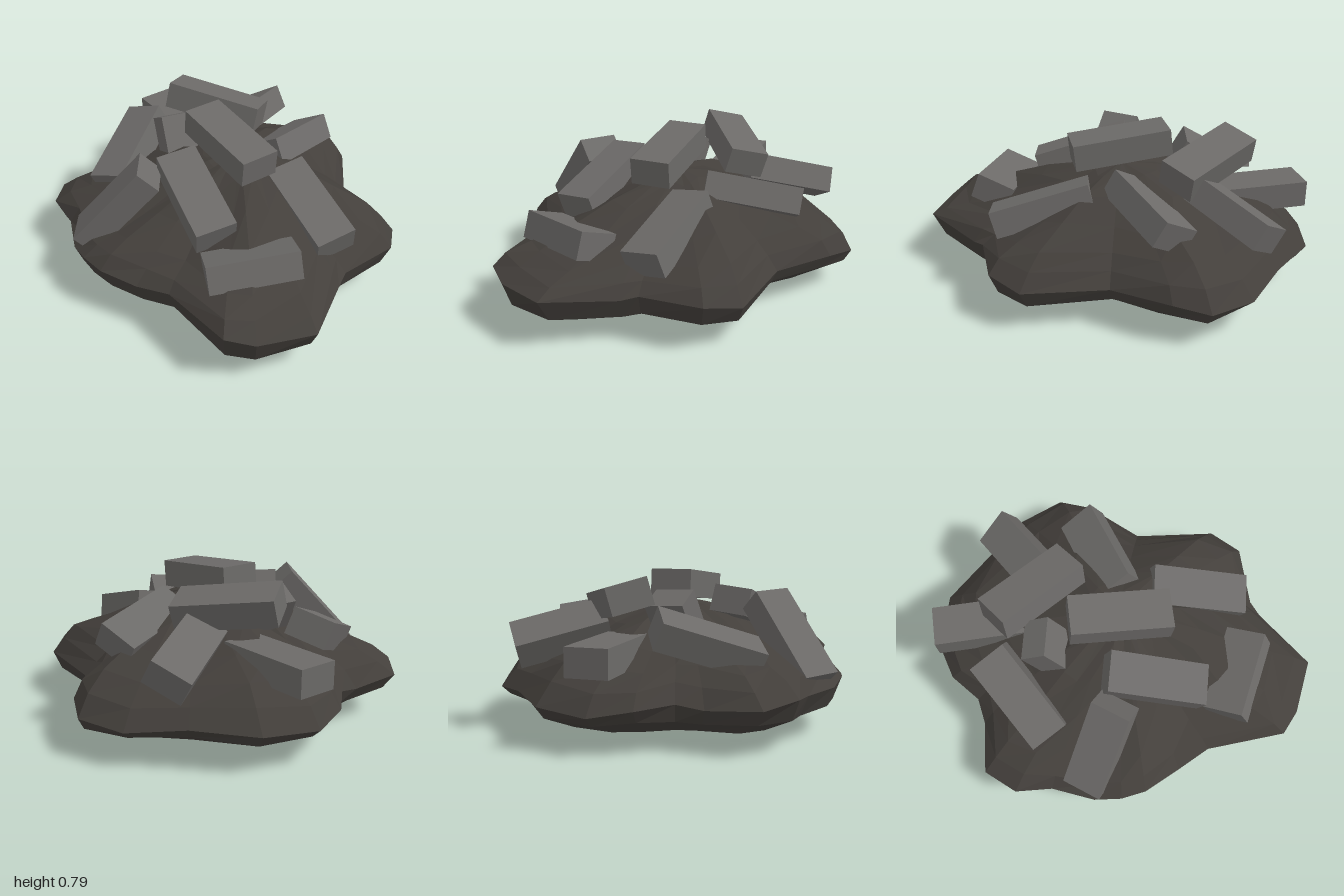
import * as THREE from 'three';

const earth = new THREE.MeshStandardMaterial({ color: 0x433f3b, flatShading: true });
const stone = new THREE.MeshStandardMaterial({ color: 0x6c6a68, flatShading: true });

// Plan outline of the mound at its widest level (x, z)
const outline = [
  [1, 0.32], [0.88, 0.58], [0.78, 0.69], [0.37, 0.71], [0.2, 0.79], [0.01, 0.88], [-0.12, 0.9], [-0.26, 0.88],
  [-0.47, 0.79], [-0.66, 0.78], [-0.81, 0.65], [-0.79, 0.38], [-0.81, 0.25], [-0.94, 0.1], [-1, -0.1],
  [-0.92, -0.38], [-0.67, -0.6], [-0.46, -0.81], [-0.22, -0.9], [-0.05, -0.82], [0.2, -0.6], [0.63, -0.55],
  [0.76, -0.4], [0.76, -0.08], [0.8, 0],
];

// Levels of the mound from underside to crown: outline scale, height, unevenness, lift towards front and left
const levels = [
  [0, 0, 0, 0], [0.4, 0.03, 0, 0], [0.76, 0.062, 0.006, 0], [0.95, 0.14, 0.015, 0], [1, 0.23, 0.022, 0.03],
  [0.92, 0.305, 0.022, 0.015], [0.8, 0.365, 0.025, 0], [0.61, 0.44, 0.028, 0], [0.4, 0.525, 0.022, 0],
  [0.19, 0.59, 0.01, 0], [0, 0.62, 0, 0],
];

function makeMound() {
  const n = outline.length, points = [], index = [];
  levels.forEach(([scale, height, rough, lift], i) => {
    outline.forEach(([x, z], j) => {
      const wave = Math.sin(j * 2.3 + i * 1.7) * 0.6 + Math.sin(j * 5.1 - i * 2.9) * 0.4;
      const s = scale < 1 ? scale * (1 + wave * rough) : 1;
      points.push(x * s, height + rough * 0.8 * Math.sin(j * 1.9 + i * 0.8) + lift * (x + z), z * s);
    });
  });
  for (let i = 0; i < levels.length - 1; i++) {
    for (let j = 0; j < n; j++) {
      const a = i * n + j, b = i * n + (j + 1) % n, c = a + n, d = b + n;
      if (i > 0) index.push(a, c, b);
      if (i < levels.length - 2) index.push(b, c, d);
    }
  }
  const geometry = new THREE.BufferGeometry();
  geometry.setAttribute('position', new THREE.Float32BufferAttribute(points, 3));
  geometry.setIndex(index);
  geometry.computeVertexNormals();
  const mesh = new THREE.Mesh(geometry, earth);
  mesh.name = 'mound';
  return mesh;
}

// Block lying along a direction, rolled about its own length
function makeBlock([name, centre, direction, roll, length = 0.52]) {
  const along = new THREE.Vector3(...direction).normalize();
  const across = along.clone().cross(new THREE.Vector3(0, 1, 0)).normalize();
  const up = across.clone().cross(along);
  const mesh = new THREE.Mesh(new THREE.BoxGeometry(length, 0.14, 0.21), stone);
  mesh.quaternion.setFromRotationMatrix(new THREE.Matrix4().makeBasis(along, up, across));
  mesh.rotateX(roll);
  mesh.position.set(...centre);
  mesh.name = name;
  return mesh;
}

// Name, centre, length direction, roll, length where it differs
const blocks = [
  ['crownBlock', [-0.005, 0.695, 0.06], [0.52, -0.055, 0.015], 0],
  ['upperSideBlock', [-0.425, 0.65, -0.165], [0.43, -0.07, -0.28], -0.25],
  ['rearCornerBlock', [-0.47, 0.475, -0.46], [0.24, 0.12, 0.42], 0.5, 0.47],
  ['overhangingBlock', [-0.715, 0.42, -0.105], [1, 0, 0], 0],
  ['frontCornerBlock', [-0.565, 0.47, 0.33], [0.26, -0.16, 0.42], 0.3],
  ['uprightBlock', [-0.32, 0.44, 0.14], [-0.2, 0.36, -0.06], 0.1],
  ['frontLeaningBlock', [-0.19, 0.45, 0.645], [-0.18, -0.35, 0.265], 0.05],
  ['frontSlopeBlock', [0.13, 0.555, 0.375], [0.48, -0.15, 0.1], 0.1],
  ['frontSideBlock', [0.575, 0.415, 0.37], [-0.2, -0.03, 0.4], 0.35, 0.45],
  ['sideBlock', [0.44, 0.455, -0.11], [0.46, -0.13, 0.07], 0.18],
  ['rearBlock', [-0.045, 0.505, -0.385], [0.13, 0.08, 0.44], 0.5, 0.5],
];

export function createModel() {
  const model = new THREE.Group();
  model.name = 'rubblePile';
  model.add(makeMound());
  const rubble = new THREE.Group();
  rubble.name = 'rubbleBlocks';
  blocks.forEach((block) => rubble.add(makeBlock(block)));
  model.add(rubble);
  return model;
}
